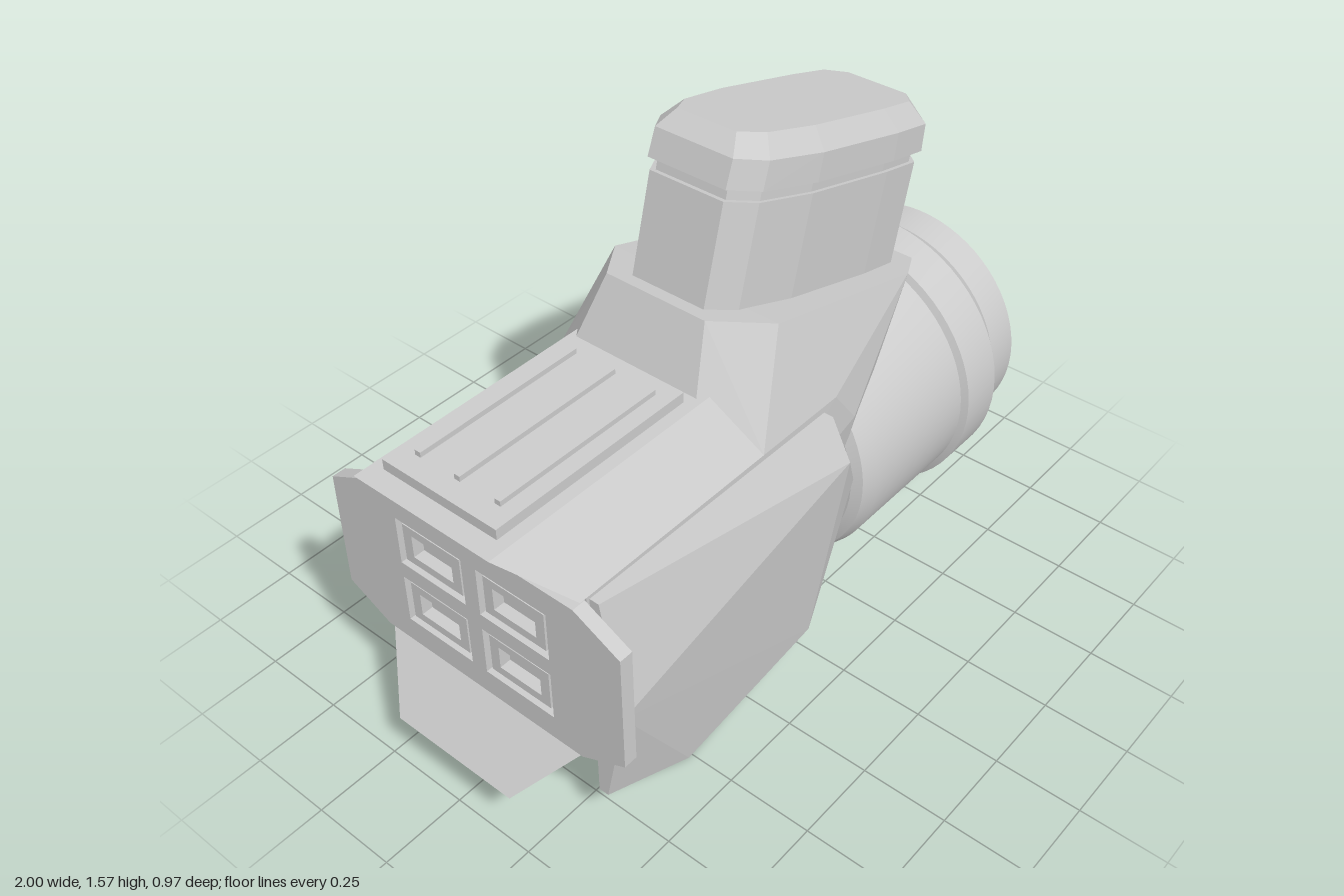
import * as THREE from 'three';
import { toCreasedNormals } from 'three/addons/utils/BufferGeometryUtils.js';
import { ConvexGeometry } from 'three/addons/geometries/ConvexGeometry.js';

const mat = new THREE.MeshStandardMaterial({ color: 0xcccccc, flatShading: true });
const smooth = new THREE.MeshStandardMaterial({ color: 0xcccccc });

export function createModel() {
  const model = new THREE.Group();
  const add = (name, geo, parent = model, material = mat) => {
    const mesh = new THREE.Mesh(geo, material);
    mesh.name = name;
    parent.add(mesh);
    return mesh;
  };
  // faceted solid around a set of corners
  const hull = (name, pts, parent) =>
    add(name, new ConvexGeometry(pts.map(p => new THREE.Vector3(...p))), parent);
  const sym = pts => pts.flatMap(([x, y, z]) => [[x, y, z], [x, y, -z]]);
  const box = (name, w, h, d, x, y, z) =>
    add(name, new THREE.BoxGeometry(w, h, d)).position.set(x, y, z);

  // main body: upper and lower wedges overhang the rear
  hull('bodyUpper', sym([[-1, 1, 0.22], [-0.86, 0.85, 0.35], [0, 1, 0.22], [0, 0.85, 0.35]]));
  hull('bodyMiddle', sym([[-0.84, 0.85, 0.35], [-0.84, 0.35, 0.35], [0.03, 0.85, 0.35],
    [0.03, 0.35, 0.35], [0.2, 0.58, 0.3], [0.2, 0.4, 0.28]]));
  hull('bodyLower', sym([[-1, 0.18, 0.2], [-0.86, 0.35, 0.35], [0.04, 0.35, 0.35],
    [0.2, 0.42, 0.28], [0.2, 0.2, 0.14], [0.04, 0.2, 0.2]]));
  hull('keel', sym([[-0.43, 0.01, 0.135], [-0.43, 0.3, 0.135], [0.2, 0.13, 0.135], [0.2, 0.3, 0.135]]));

  // neck under the slanted block
  hull('neck', sym([
    [-0.2, 1.17, 0.16], [-0.05, 1.13, 0.27], [0.56, 0.953, 0.25], [0.67, 0.92, 0.19],
    [0.66, 0.9, 0.18], [-0.28, 1, 0.2], [-0.2, 0.85, 0.35], [0.1, 0.85, 0.35],
    [0.2, 0.72, 0.345], [0.2, 0.58, 0.32], [-0.2, 0.6, 0.35],
  ]));

  // rear deck pad with slats
  hull('deckPad', sym([[-0.94, 1, 0.185], [-0.94, 1.03, 0.185], [-0.31, 1, 0.185], [-0.31, 1.03, 0.185]]));
  for (const z of [-0.13, 0, 0.13]) box('deckSlat', 0.52, 0.03, 0.018, -0.62, 1.03, z);

  // ridged side panels
  for (const s of [1, -1]) {
    const outline = [[-0.83, 0.84], [0.05, 0.83], [0.19, 0.52], [0, 0.09], [-0.52, 0.02], [-0.83, 0.17]];
    const pts = outline.map(([x, y]) => [x, y, 0.345 * s]);
    pts.push([-0.83, 0.84, 0.378 * s], [0.05, 0.83, 0.378 * s], [-0.83, 0.5, 0.44 * s], [0.05, 0.71, 0.44 * s],
      [-0.83, 0.28, 0.378 * s], [0.185, 0.52, 0.365 * s], [0, 0.09, 0.372 * s],
      [-0.52, 0.02, 0.372 * s], [-0.83, 0.17, 0.374 * s]);
    hull(s > 0 ? 'leftPanel' : 'rightPanel', pts);
  }

  // rear plate with four framed ports
  const rect = (Type, x, y, w, h) => new Type().setFromPoints([
    [-1, -1], [1, -1], [1, 1], [-1, 1]].map(([a, b]) => new THREE.Vector2(x + a * w / 2, y + b * h / 2)));
  const slab = (name, shape, depth, x) => {
    const geo = new THREE.ExtrudeGeometry(shape, { depth, bevelEnabled: false });
    add(name, geo.rotateY(-Math.PI / 2)).position.x = x;
  };
  const plate = new THREE.Shape().setFromPoints([
    [-0.345, 0.34], [0.345, 0.34], [0.485, 0.41], [0.485, 0.77],
    [0.345, 0.84], [-0.345, 0.84], [-0.485, 0.77], [-0.485, 0.41],
  ].map(p => new THREE.Vector2(...p)));
  for (const z of [-0.14, 0.14]) for (const y of [0.49, 0.69]) {
    plate.holes.push(rect(THREE.Path, z, y, 0.23, 0.15));
    const frame = rect(THREE.Shape, z, y, 0.2, 0.12);
    frame.holes.push(rect(THREE.Path, z, y, 0.14, 0.07));
    slab('portFrame', frame, 0.035, -0.838);
  }
  slab('rearPlate', plate, 0.04, -0.84);

  // hollow barrel along x
  const profile = [[0.3, 0.19], [0.355, 0.19], [0.385, 0.205], [0.4, 0.25], [0.4, 0.67], [0.42, 0.68],
    [0.42, 0.82], [0.37, 0.885], [0.367, 1], [0.295, 1], [0.295, 0.72], [0.28, 0.7],
    [0.28, 0.19], [0.3, 0.19]];
  const lathe = new THREE.LatheGeometry(profile.map(p => new THREE.Vector2(...p)), 64);
  lathe.rotateZ(-Math.PI / 2);
  add('barrel', toCreasedNormals(lathe, 0.4), model, smooth).position.y = 0.475;
  hull('barrelCentreBar', sym([[0.15, 0.22, 0.135], [0.15, 0.76, 0.135], [0.46, 0.2, 0.11], [0.46, 0.76, 0.11]]));

  // slanted block with a groove and a bevelled cap
  const block = new THREE.Group();
  block.name = 'slantedBlock';
  block.position.set(0.243, 1.048, 0);
  block.rotation.z = -0.263;
  model.add(block);
  const foot = [[-0.41, 0.12], [-0.33, 0.17], [-0.14, 0.195], [0.2, 0.195], [0.35, 0.185], [0.41, 0.125]];
  const ring = (y, sx, sz) => sym(foot.map(([x, z]) => [x * sx, y, z * sz]));
  hull('blockBase', [...ring(-0.06, 1, 0.97), ...ring(0.285, 1, 0.97)], block);
  hull('blockGroove', [...ring(0.27, 0.96, 0.92), ...ring(0.33, 0.96, 0.92)], block);
  hull('blockCap', [...ring(0.318, 1.02, 1.02), ...ring(0.395, 1, 1.01), ...ring(0.447, 0.91, 0.76)], block);

  return model;
}
